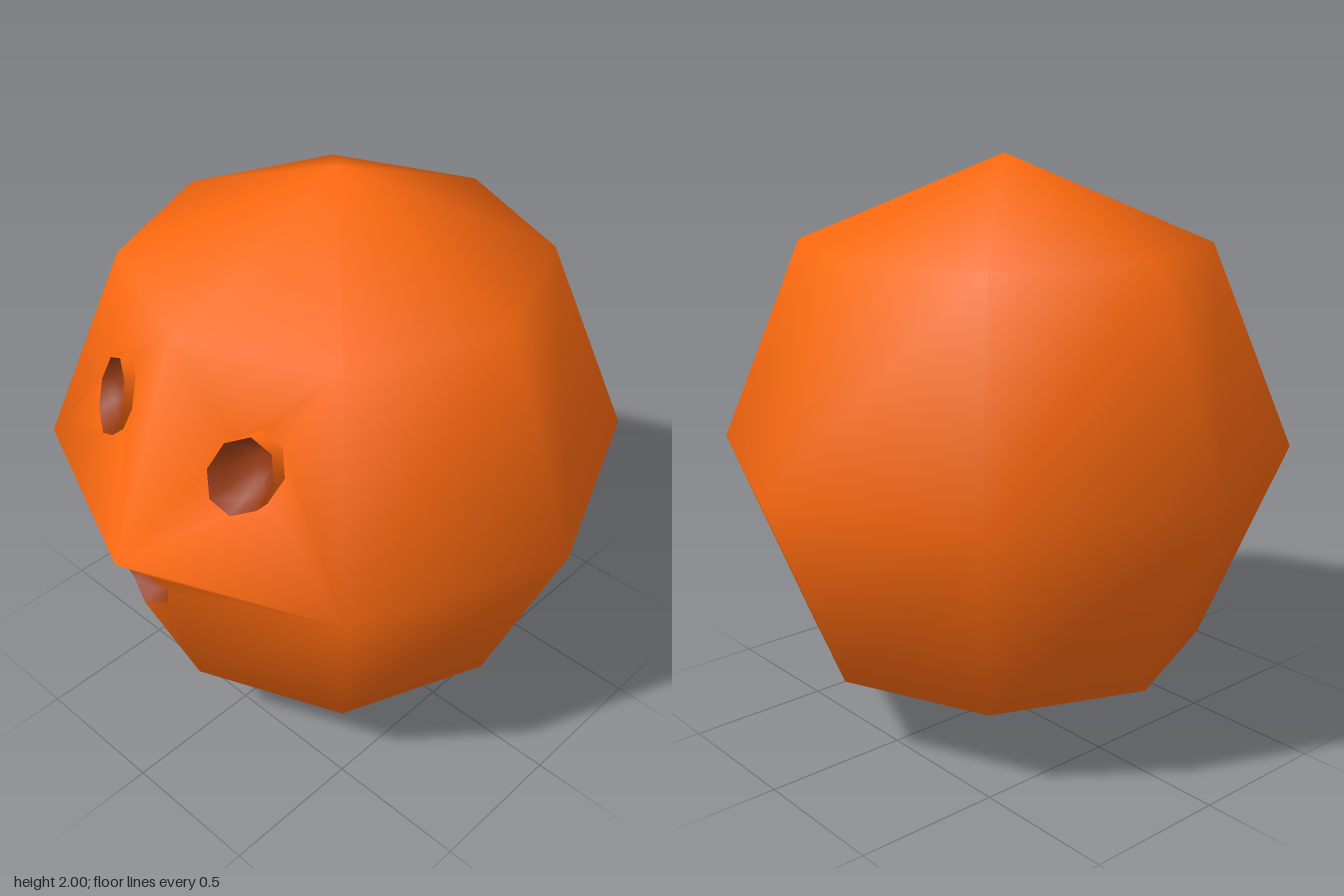
import * as THREE from 'three';

const SEGS = 8, K = Math.SQRT2 - 1, H = Math.SQRT1_2;

// Depth of the four front facets of the faceted ball at a given x, y
const facetZ = (x, y) => 1 - K * Math.abs(x) - K * Math.abs(y - 1);

// Collects points and triangles; shared points give smooth shading
class Builder {
  constructor() { this.points = []; this.index = []; }
  add(x, y, z) { this.points.push(x, y, z); return this.points.length / 3 - 1; }
  tri(a, b, c) { this.index.push(a, b, c); }
  quad(a, b, c, d) { this.tri(a, b, c); this.tri(a, c, d); }
  xy(i) { return new THREE.Vector2(this.points[3 * i], this.points[3 * i + 1]); }
  // Fills an outline (with an optional hole) so that it faces +z
  fill(outline, hole = []) {
    const ids = [...outline, ...hole];
    const faces = THREE.ShapeUtils.triangulateShape(
      outline.map(i => this.xy(i)), hole.length ? [hole.map(i => this.xy(i))] : []);
    for (const f of faces) {
      const [a, b, c] = f.map(k => ids[k]);
      const p = this.xy(a), turn = this.xy(b).sub(p).cross(this.xy(c).sub(p));
      if (turn > 0) this.tri(a, b, c); else this.tri(a, c, b);
    }
  }
  mesh(name, color) {
    const g = new THREE.BufferGeometry();
    g.setAttribute('position', new THREE.Float32BufferAttribute(this.points, 3));
    g.setIndex(this.index);
    g.computeVertexNormals();
    const mesh = new THREE.Mesh(g, new THREE.MeshStandardMaterial({ color, side: THREE.DoubleSide }));
    mesh.name = name;
    return mesh;
  }
}

// Counter-clockwise eight-sided rim lying on the front facets
function rimPoints(cx, cy, rx, ry, sideDrop = 0) {
  return Array.from({ length: SEGS }, (_, i) => {
    const a = Math.PI / 2 + i * Math.PI * 2 / SEGS;
    const x = cx + rx * Math.cos(a), y = cy + ry * Math.sin(a);
    return [x, y, facetZ(x, y) - sideDrop * Math.abs(Math.cos(a))];
  });
}

// Shallow dark bowl inside a rim
function socket(name, rim, depth) {
  const b = new Builder();
  const mid = [0, 1, 2].map(k => rim.reduce((s, p) => s + p[k], 0) / SEGS);
  const rings = [[1, 0], [0.75, 0.6], [0.4, 0.9]].map(([s, d]) => rim.map(p =>
    b.add(...p.map((v, k) => mid[k] + (v - mid[k]) * s - (k === 2 ? d * depth : 0)))));
  const end = b.add(mid[0], mid[1], mid[2] - depth);
  for (let i = 0; i < SEGS; i++) {
    const j = (i + 1) % SEGS;
    for (let r = 0; r < 2; r++) b.quad(rings[r][i], rings[r][j], rings[r + 1][j], rings[r + 1][i]);
    b.tri(rings[2][i], rings[2][j], end);
  }
  return b.mesh(name, 0x963a14);
}

export function createModel() {
  const group = new THREE.Group();
  const eyes = [-1, 1].map(s => rimPoints(s * 0.3, 1.355, 0.1, 0.12));
  const mouth = rimPoints(0, 0.885, 0.115, 0.115, 0.012);

  // Faceted ball: three rings of eight points between two poles
  const b = new Builder();
  const ring = (r, y) => Array.from({ length: SEGS }, (_, i) => {
    const a = i * Math.PI * 2 / SEGS;
    return b.add(r * Math.sin(a), y, r * Math.cos(a));
  });
  const low = ring(H, 1 - H), mid = ring(1, 1), high = ring(H, 1 + H);
  const bottom = b.add(0, 0, 0), top = b.add(0, 2, 0);
  for (let i = 0; i < SEGS; i++) {
    const j = (i + 1) % SEGS;
    b.tri(bottom, low[j], low[i]);
    b.tri(high[i], high[j], top);
    // the facets either side of the front edge carry the face
    if (i === 0 || i === SEGS - 1) continue;
    b.quad(low[i], low[j], mid[j], mid[i]);
    b.quad(mid[i], mid[j], high[j], high[i]);
  }

  // Upper front facets, dented towards a raised rim round each eye
  eyes.forEach((rim, e) => {
    const [i, j] = e ? [0, 1] : [SEGS - 1, 0];
    const foot = rim.map(([x, y, z]) => b.add(x, y, z - 0.045));
    b.fill([mid[i], mid[j], high[j], high[i]], foot);
    const wallFoot = rim.map(([x, y, z]) => b.add(x, y, z - 0.045));
    const wallTop = rim.map(p => b.add(...p));
    for (let k = 0; k < SEGS; k++) {
      const n = (k + 1) % SEGS;
      b.quad(wallFoot[k], wallFoot[n], wallTop[n], wallTop[k]);
    }
  });

  // Lower front facets, each cut by half of the mouth
  const cut = mouth.map((p, i) => i === 0 ? mid[0] : b.add(...p));
  b.fill([low[0], low[1], mid[1], mid[0], cut[7], cut[6], cut[5], cut[4]]);
  b.fill([low[0], cut[4], cut[3], cut[2], cut[1], mid[0], mid[7], low[7]]);
  group.add(b.mesh('body', 0xff6a10));

  group.add(socket('rightEye', eyes[0], 0.08));
  group.add(socket('leftEye', eyes[1], 0.08));
  group.add(socket('mouth', mouth, 0.08));
  return group;
}
